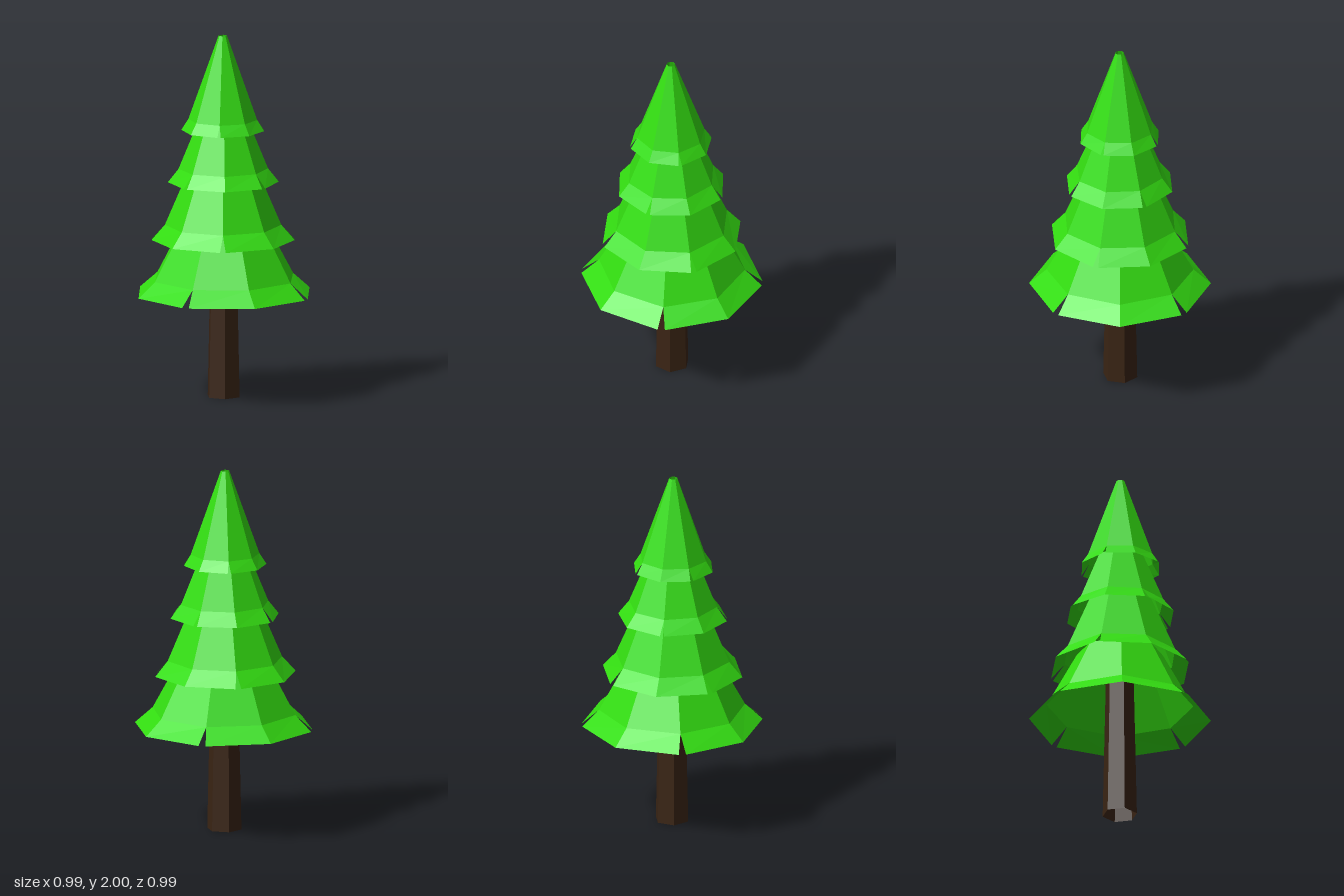
import * as THREE from 'three';

const SIDES = 8;
const GAP = THREE.MathUtils.degToRad(2.3);

const makeMaterial = (color) =>
  new THREE.MeshStandardMaterial({ color, flatShading: true, side: THREE.DoubleSide });

// Open eight-sided skirt from [radius, y] rings (rim first); the flared rim is slit at every second corner.
function skirtGeometry(rings, turnDegrees) {
  const turn = THREE.MathUtils.degToRad(turnDegrees);
  const positions = [];
  const point = ([r, y], a) => [r * Math.cos(a), y, r * Math.sin(a)];

  for (let k = 0; k < SIDES; k++) {
    const start = turn + (k / SIDES) * Math.PI * 2;
    const end = turn + ((k + 1) / SIDES) * Math.PI * 2;
    for (let j = 0; j < rings.length - 1; j++) {
      const slitStart = j === 0 && k % 2 === 0 ? GAP : 0;
      const slitEnd = j === 0 && k % 2 === 1 ? GAP : 0;
      const s0 = point(rings[j], start + slitStart);
      const e0 = point(rings[j], end - slitEnd);
      const s1 = point(rings[j + 1], start);
      const e1 = point(rings[j + 1], end);
      positions.push(...e0, ...s0, ...s1, ...e0, ...s1, ...e1);
    }
  }
  const geometry = new THREE.BufferGeometry();
  geometry.setAttribute('position', new THREE.Float32BufferAttribute(positions, 3));
  geometry.computeVertexNormals();
  return geometry;
}

export function createModel() {
  const tree = new THREE.Group();
  tree.name = 'pineTree';
  const bark = makeMaterial(0x3a2414);
  const needles = makeMaterial(0x33dd11);

  // Tapered six-sided trunk, open at both ends
  const trunkHeight = 0.95;
  const trunkGeometry = new THREE.CylinderGeometry(0.075, 0.096, trunkHeight, 6, 1, true);
  trunkGeometry.rotateY(Math.PI / 6);
  const trunk = new THREE.Mesh(trunkGeometry, bark);
  trunk.name = 'trunk';
  trunk.position.set(-0.002, trunkHeight / 2, 0);
  tree.add(trunk);

  // Foliage tiers, bottom to top: rim, crease and top rings, each turned differently
  const tiers = [
    { name: 'lowestFoliage', turn: 0, x: 0, z: 0, rings: [[0.495, 0.572], [0.4, 0.657], [0.235, 0.96]] },
    { name: 'lowerFoliage', turn: -25, x: -0.004, z: 0.003, rings: [[0.39, 0.868], [0.317, 0.95], [0.18, 1.27]] },
    { name: 'upperFoliage', turn: 18, x: -0.002, z: 0.005, rings: [[0.302, 1.188], [0.244, 1.262], [0.13, 1.54]] },
    { name: 'topFoliage', turn: -20, x: -0.004, z: 0.007, rings: [[0.226, 1.475], [0.188, 1.535], [0.023, 2]] },
  ];
  for (const { name, turn, x, z, rings } of tiers) {
    const tier = new THREE.Mesh(skirtGeometry(rings, turn), needles);
    tier.name = name;
    tier.position.set(x, 0, z);
    tree.add(tier);
  }
  return tree;
}
